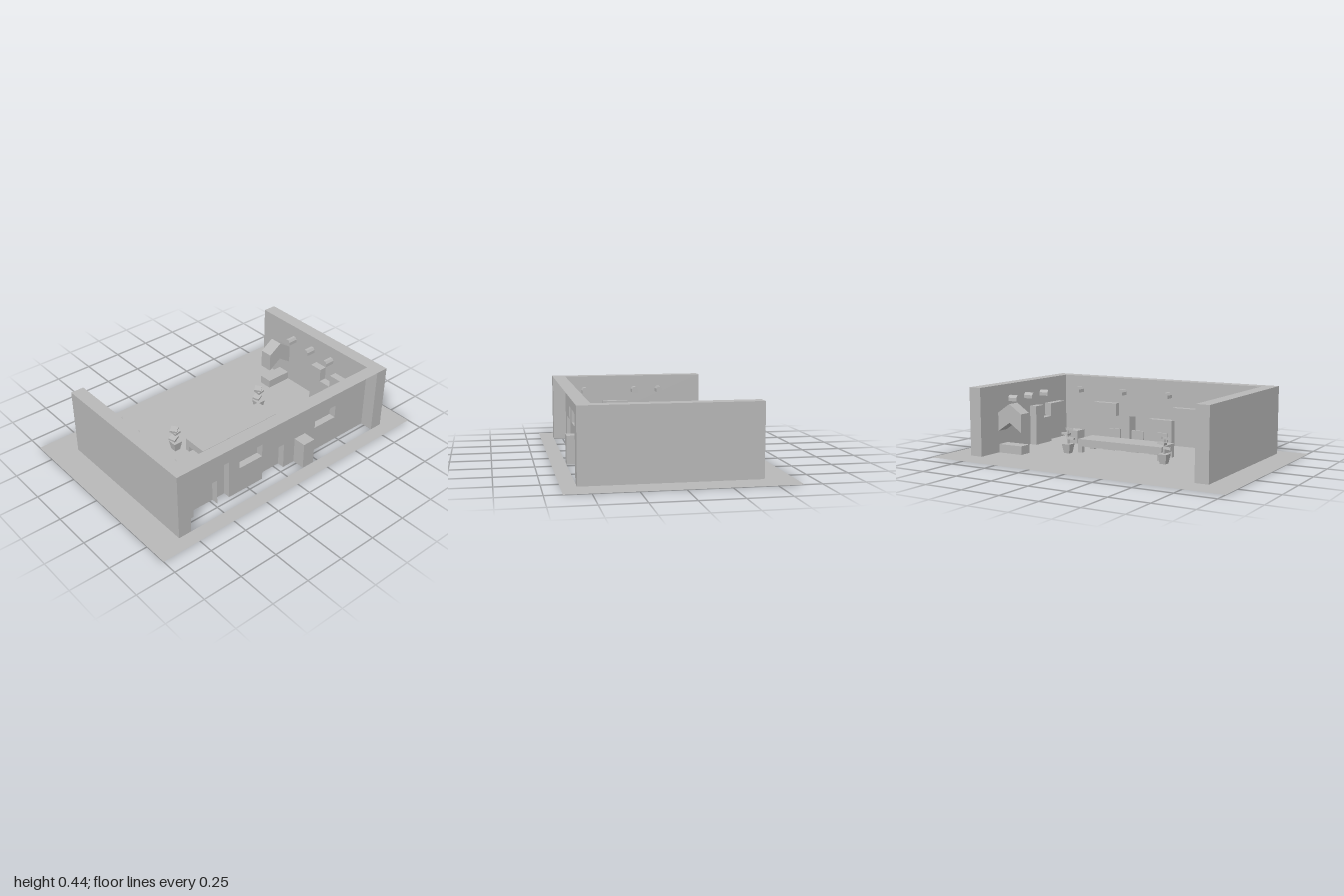
import * as THREE from 'three';

const grey = new THREE.MeshStandardMaterial({ color: 0xb8b8b8, side: THREE.DoubleSide, flatShading: true });
grey.name = 'plain grey';

const U = 0.0875; // module size of the furniture grid
const H = 0.435; // wall height
const IN = 0.74, OUT = 0.825; // wall faces in x
const ZB = -0.48, ZI = 0.475, ZO = 0.56; // wall back end, inner and outer front planes
const FACES = ['+x', '-x', '+y', '-y', '+z', '-z'];

export function createModel() {
  const model = new THREE.Group();

  const add = (name, geometry, parent = model) => {
    const mesh = new THREE.Mesh(geometry, grey);
    mesh.name = name;
    parent.add(mesh);
    return mesh;
  };

  // Box between two corners, leaving out the listed open faces
  const box = (name, x0, x1, y0, y1, z0, z1, open = [], parent = model) => {
    const g = new THREE.BoxGeometry(x1 - x0, y1 - y0, z1 - z0);
    g.translate((x0 + x1) / 2, (y0 + y1) / 2, (z0 + z1) / 2);
    const index = Array.from(g.index.array);
    g.setIndex(index.filter((_, i) => !open.includes(FACES[Math.floor(i / 6)])));
    g.clearGroups();
    return add(name, g, parent);
  };

  const path = (points) => new THREE.Path(points.map(([x, y]) => new THREE.Vector2(x, y)));
  const rect = (x0, x1, y0, y1) => path([[x0, y0], [x1, y0], [x1, y1], [x0, y1]]);
  const shape = (outline, holes) => {
    const s = new THREE.Shape(outline.getPoints());
    s.holes.push(...holes);
    return s;
  };

  // Floor sheet, open under the walls and under everything that rises from it
  const FZ = 0.43, SX = 0.69;
  const wallHole = path([
    [-OUT, ZB], [-IN, ZB], [-IN, ZI],
    [-0.655, ZI], [-0.655, FZ], [-0.39, FZ], [-0.39, ZI],
    [-0.13, ZI], [-0.13, FZ], [0.042, FZ], [0.042, ZI],
    [0.13, ZI], [0.13, ZO - 0.002], [0.217, ZO - 0.002], [0.217, ZI],
    [IN, ZI], [IN, 0.215], [SX, 0.215], [SX, 0.04], [IN, 0.04],
    [IN, ZB], [OUT, ZB], [OUT, ZO], [-OUT, ZO],
  ]);
  const stoolX = 0.52, stoolZ = 0.26;
  const floor = new THREE.ShapeGeometry(shape(rect(-1, 1, -0.65, 0.65), [
    wallHole,
    rect(0.56, 0.735, -0.305, -0.22),
    ...[-1, 1].map((s) => rect(s * stoolX - U / 2, s * stoolX + U / 2, stoolZ - U / 2, stoolZ + U / 2)),
  ]));
  add('floor', floor.rotateX(Math.PI / 2));

  // Hollow side walls
  box('leftWall', IN, OUT, 0, H, ZB, ZO, ['-y']);
  box('rightWall', -OUT, -IN, 0, H, ZB, ZO, ['-y']);

  // Front wall: inner sheet with openings, and a top strip
  const frontWall = new THREE.ShapeGeometry(shape(path([
    [-IN, 0], [-0.655, 0], [-0.655, 2 * U], [-0.48, 2 * U], [-0.48, 3 * U], [-0.39, 3 * U], [-0.39, 0],
    [-0.13, 0], [-0.13, 2 * U], [0.042, 2 * U], [0.042, 0],
    [0.13, 0], [0.13, 2 * U], [0.217, 2 * U], [0.217, 0],
    [IN, 0], [IN, H], [-IN, H],
  ]), [rect(-0.31, -0.135, 2 * U + 0.001, 3 * U), rect(0.30, 0.475, 2 * U, 3 * U)]));
  add('frontWall', frontWall.translate(0, 0, ZI));
  const strip = new THREE.PlaneGeometry(2 * IN, ZO - ZI).rotateX(-Math.PI / 2);
  add('frontWallTop', strip.translate(0, H, (ZI + ZO) / 2));
  box('doorNiche', 0.13, 0.217, 0, 2 * U, ZI, ZO - 0.002, ['-z', '-y']);

  // Cabinets and shelves along the front wall, open towards the wall
  box('lowCabinet', -0.655, -0.48, 0, 2 * U, FZ, ZI, ['+z', '-y', '+x']);
  box('tallCabinet', -0.48, -0.39, 0, 3 * U, FZ, ZI, ['+z', '-y']);
  box('counter', -0.13, 0.042, 0, 2 * U, FZ, ZI, ['+z', '-y']);
  box('frontShelf', -0.31, -0.135, 2 * U, 3 * U, FZ, ZI, ['+z']);
  box('frontShelf', 0.30, 0.475, 2 * U, 3 * U, FZ, ZI, ['+z']);

  // Furniture on the side walls
  box('sideTallCabinet', SX, IN, 0, 3 * U, 0.04, 0.127, ['-y', '+x']);
  box('sideLowCabinet', SX, IN, 0, 2 * U, 0.127, 0.215, ['-y', '+x']);
  box('sideShelf', SX, IN, 2 * U, 3 * U, 0.215, 0.385, ['+x']);
  box('sideShelf', -IN, -0.70, 2 * U, 3 * U, 0.04, 0.215, ['-x']);

  // Hearth: a low base below a gabled hood
  box('hearthBase', 0.56, 0.735, 0, 0.055, -0.305, -0.22, ['-y']);
  const hood = new THREE.Shape([
    [0.56, 0.14], [0.65, 0.20], [0.74, 0.14], [0.74, 0.26], [0.65, 0.32], [0.56, 0.26],
  ].map(([x, y]) => new THREE.Vector2(x, y)));
  add('hearthHood', new THREE.ExtrudeGeometry(hood, { depth: 0.085, bevelEnabled: false }).translate(0, 0, -0.305));

  // Stools
  for (const s of [-1, 1]) {
    box('stool', s * stoolX - U / 2, s * stoolX + U / 2, 0, U, stoolZ - U / 2, stoolZ + U / 2, ['-y']);
  }

  // Long table on corner legs
  box('tableTop', -0.305, 0.30, 0.04, U, -0.045, 0.127);
  for (const x of [-0.305, 0.27]) {
    for (const z of [-0.045, 0.097]) box('tableLeg', x, x + 0.03, 0, 0.04, z, z + 0.03);
  }

  // Chairs
  for (const x of [-0.175, 0, 0.175]) {
    const chair = new THREE.Group();
    chair.name = 'chair';
    box('seat', x - U / 2, x + U / 2, 0, 0.045, 0.127, 0.2, [], chair);
    box('backrest', x - U / 2, x + U / 2, 0, 0.13, 0.2, 0.213, [], chair);
    model.add(chair);
  }

  // Potted plants: tapered pot, stem and turned leaf plates
  for (const x of [-0.35, 0.345]) {
    const plant = new THREE.Group();
    plant.name = 'plant';
    const pot = new THREE.CylinderGeometry(0.042, 0.028, 0.06, 4).rotateY(Math.PI / 4);
    add('pot', pot, plant).position.y = 0.03;
    box('stem', -0.005, 0.005, 0.06, 0.155, -0.005, 0.005, [], plant);
    [[-0.018, 0.095, 0.004, 0.4], [0.01, 0.125, -0.008, 0.1], [-0.008, 0.155, 0.002, 0.7]].forEach(([lx, y, z, turn]) => {
      const leaf = add('leaf', new THREE.BoxGeometry(0.045, 0.014, 0.045), plant);
      leaf.position.set(lx, y, z);
      leaf.rotation.set(0.12, turn, 0.12);
    });
    plant.position.set(x, 0, -0.093);
    model.add(plant);
  }

  // Wall lamps: bevelled blocks reaching into the room
  const profile = new THREE.Shape([
    [-0.019, -0.018], [0.019, -0.018], [0.019, 0.004], [0.009, 0.02], [-0.009, 0.02], [-0.019, 0.004],
  ].map(([x, y]) => new THREE.Vector2(x, y)));
  const lampGeometry = new THREE.ExtrudeGeometry(profile, { depth: 0.065, bevelEnabled: false });
  const lamp = (x, z, turn) => {
    const mesh = add('wallLamp', lampGeometry);
    mesh.position.set(x, 0.34, z);
    mesh.rotation.y = turn;
  };
  for (const x of [-0.615, -0.09, 0.258, 0.605]) lamp(x, ZI, Math.PI);
  for (const z of [-0.178, -0.005, 0.17]) lamp(IN, z, -Math.PI / 2);
  for (const z of [-0.178, -0.005, 0.345]) lamp(-IN, z, Math.PI / 2);

  return model;
}
